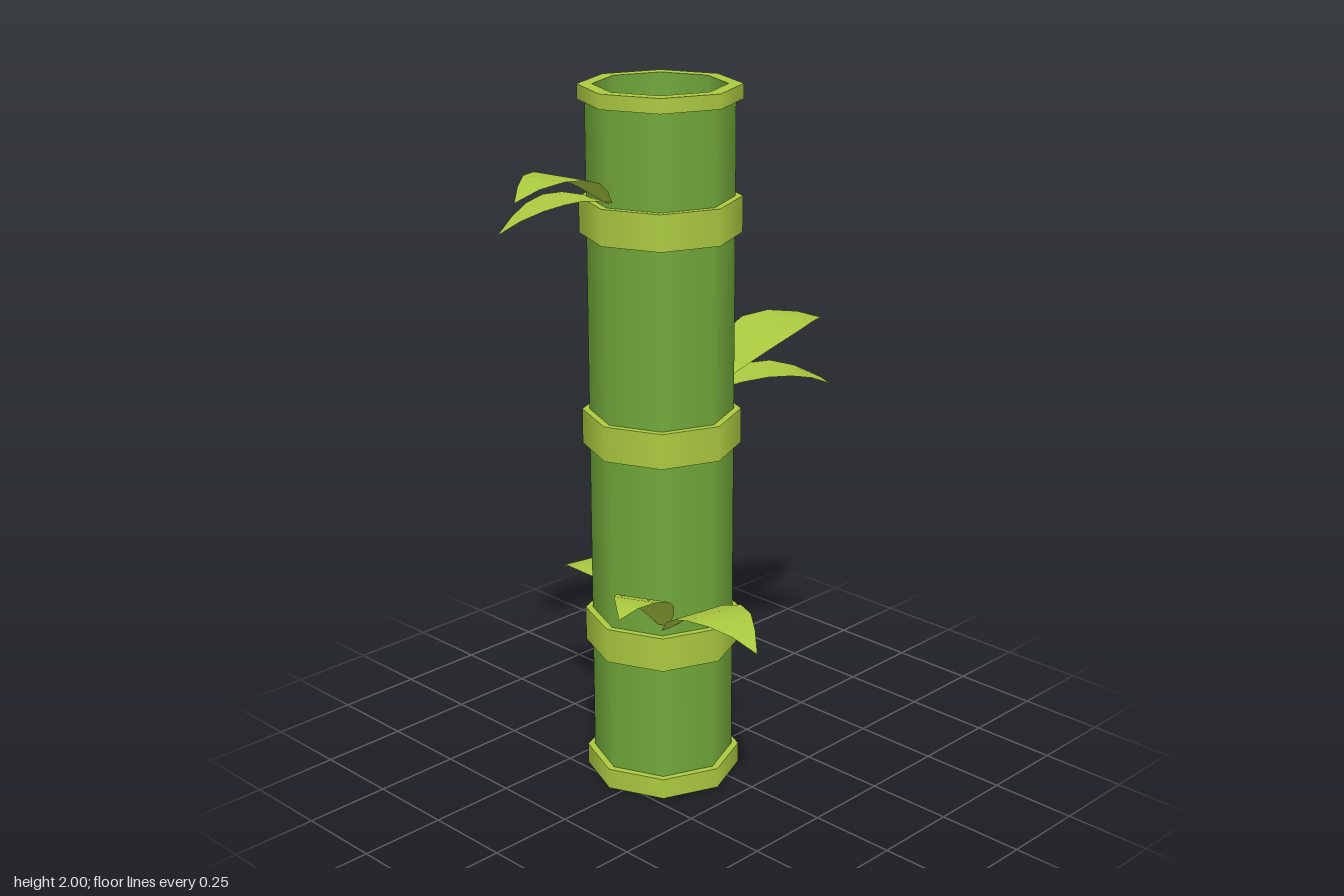
import * as THREE from 'three';
import { mergeGeometries } from 'three/addons/utils/BufferGeometryUtils.js';

const SIDES = 8;
const CX = -0.07, CZ = -0.04; // stalk axis
const R = 0.2, RING = 0.22, BORE = 0.18;

// Eight-sided turned shape: smooth around the axis, sharp between profile points
function turned(profile) {
  const strips = [];
  for (let i = 0; i < profile.length - 1; i++) {
    const pair = [profile[i], profile[i + 1]].map(([r, y]) => new THREE.Vector2(r, y));
    strips.push(new THREE.LatheGeometry(pair, SIDES));
  }
  return mergeGeometries(strips).translate(CX, 0, CZ);
}

// Arched leaf blade from base to tip; lift is the height of the curve's control point
function leafGeometry(base, tip, lift, halfWidth, bend = 0) {
  const a = new THREE.Vector3(...base), b = new THREE.Vector3(...tip);
  const side = new THREE.Vector3(a.z - b.z, 0, b.x - a.x).normalize();
  const control = a.clone().lerp(b, 0.5).addScaledVector(side, bend);
  control.y = lift;
  const curve = new THREE.QuadraticBezierCurve3(a, control, b);
  const widths = [0.12, 0.62, 0.92, 1, 0.8, 0.42, 0];
  const steps = widths.length - 1;
  const positions = [], index = [];
  widths.forEach((w, i) => {
    const p = curve.getPoint(i / steps);
    for (const s of [-1, 0, 1]) {
      const q = p.clone().addScaledVector(side, s * w * halfWidth);
      positions.push(q.x, q.y, q.z);
    }
    if (i === steps) return;
    for (let j = 0; j < 2; j++) {
      const k = i * 3 + j;
      index.push(k, k + 1, k + 3, k + 1, k + 4, k + 3);
    }
  });
  // Wind the faces so that the upper side is the front
  for (let i = 0; i < index.length; i += 3) [index[i + 1], index[i + 2]] = [index[i + 2], index[i + 1]];
  const g = new THREE.BufferGeometry();
  g.setAttribute('position', new THREE.Float32BufferAttribute(positions, 3));
  g.setIndex(index);
  g.computeVertexNormals();
  if (g.attributes.normal.getY(7) < 0) {
    g.setIndex(index.reverse());
    g.computeVertexNormals();
  }
  return g;
}

export function createModel() {
  const group = new THREE.Group();
  const stalkGreen = new THREE.MeshStandardMaterial({ color: 0x71a73a });
  stalkGreen.name = 'stalk green';
  const lime = new THREE.MeshStandardMaterial({ color: 0xabc940, side: THREE.DoubleSide });
  lime.name = 'lime green';

  const add = (name, geometry, material, parent = group) => {
    const mesh = new THREE.Mesh(geometry, material);
    mesh.name = name;
    parent.add(mesh);
  };

  // Stalk with a shallow hollow at each end
  add('stalk', turned([[R, 0.02], [R, 1.98]]), stalkGreen);
  add('bottomHollow', turned([[0, 0.1], [BORE, 0.1], [BORE, 0]]), stalkGreen);
  add('topHollow', turned([[BORE, 2], [BORE, 1.92], [0, 1.92]]), stalkGreen);

  // Rims at the ends
  add('bottomRim', turned([[BORE, 0], [RING, 0], [RING, 0.06], [R, 0.06]]), lime);
  add('topRim', turned([[R, 1.96], [RING, 1.96], [RING, 2], [BORE, 2]]), lime);

  // Joint rings along the stalk
  for (const y of [0.4, 1.0, 1.6]) {
    add('jointRing', turned([[R, y], [RING, y], [RING, y + 0.1], [R, y + 0.1]]), lime);
  }

  // Leaf pairs: base, tip, lift, half width, sideways bend
  const pairs = {
    leftLeaves: [
      [[0.12, 1.115, -0.04], [0.63, 1.21, -0.04], 1.34, 0.11],
      [[0.12, 1.11, -0.03], [0.5, 1.05, 0.15], 1.226, 0.08],
    ],
    backLeaves: [
      [[-0.07, 0.505, -0.23], [-0.01, 0.46, -0.52], 0.577, 0.068],
      [[-0.06, 0.505, -0.23], [0.14, 0.36, -0.48], 0.54, 0.065],
    ],
    rightLeaves: [
      [[-0.26, 1.71, -0.04], [-0.63, 1.78, 0.01], 1.885, 0.085, 0.02],
      [[-0.26, 1.71, -0.04], [-0.56, 1.66, -0.14], 1.79, 0.07],
    ],
    frontLeaves: [
      [[-0.2, 0.52, 0.1], [-0.51, 0.69, 0.24], 0.759, 0.075],
      [[-0.2, 0.515, 0.1], [-0.27, 0.6, 0.51], 0.72, 0.09, -0.03],
    ],
  };
  for (const [name, leaves] of Object.entries(pairs)) {
    const pair = new THREE.Group();
    pair.name = name;
    leaves.forEach((leaf) => add('leaf', leafGeometry(...leaf), lime, pair));
    group.add(pair);
  }
  return group;
}
